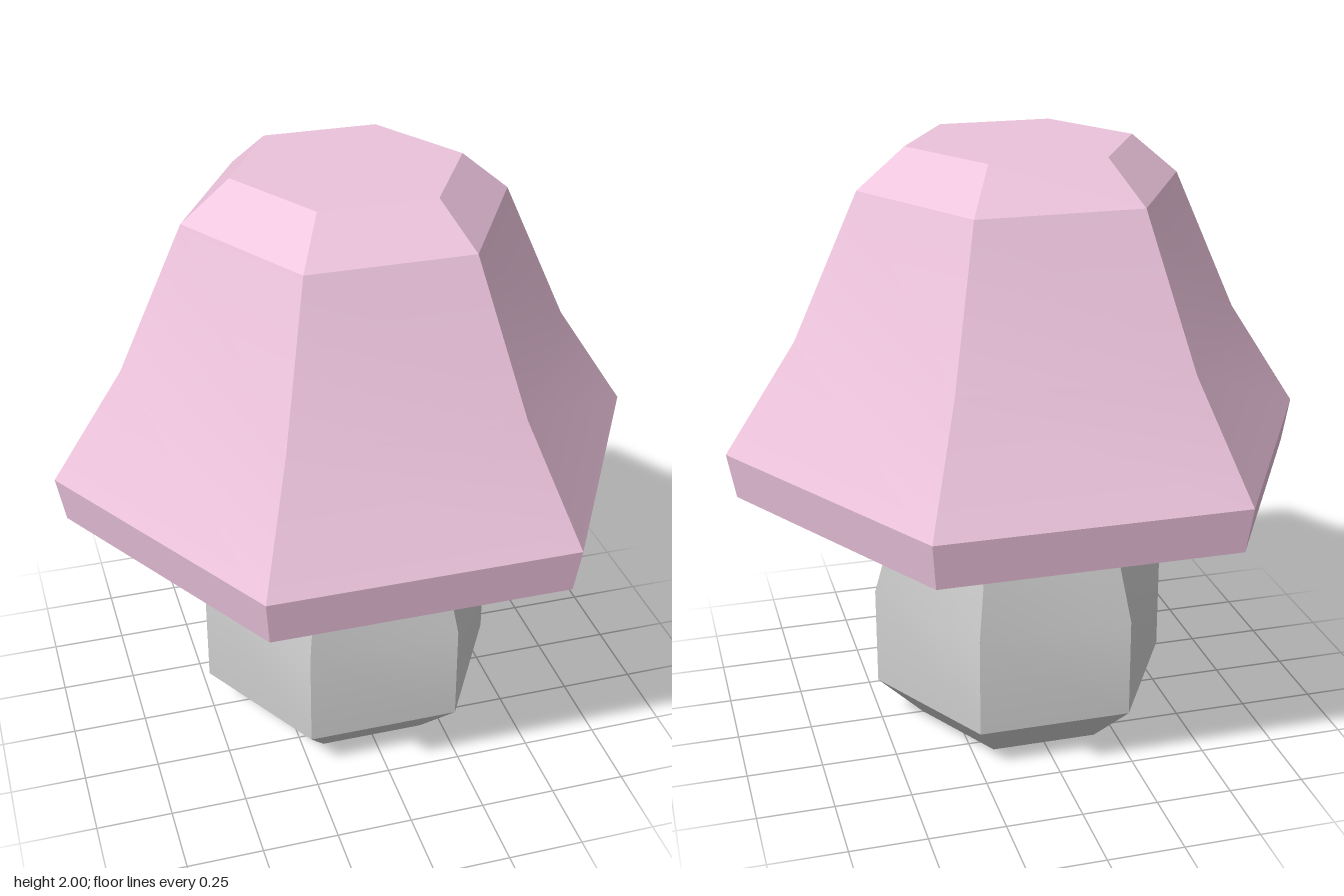
import * as THREE from 'three';
import { toCreasedNormals } from 'three/addons/utils/BufferGeometryUtils.js';

// Six-sided turned part; profile is [radius, height] pairs, bottom to top.
function hexPart(name, profile, color) {
  const points = profile.map(([r, y]) => new THREE.Vector2(r, y));
  const lathe = new THREE.LatheGeometry(points, 6, Math.PI / 6);
  const mesh = new THREE.Mesh(
    toCreasedNormals(lathe, THREE.MathUtils.degToRad(20)),
    new THREE.MeshStandardMaterial({ color })
  );
  mesh.name = name;
  return mesh;
}

export function createModel() {
  const model = new THREE.Group();
  model.name = 'mushroom';

  // Stem: bevelled foot, straight belly, tapering neck that meets the cap's ceiling
  model.add(hexPart('stem', [
    [0, 0], [0.355, 0], [0.51, 0.15], [0.51, 0.49], [0.36, 1.01], [0, 1.01],
  ], 0xcccccc));

  // Cap: recessed underside, flat lip, flared rim, bell-shaped sides, flat top
  model.add(hexPart('cap', [
    [0, 1.01], [0.57, 1.01], [0.77, 0.89], [0.95, 0.89], [0.977, 1.04],
    [0.74, 1.4], [0.525, 1.87], [0.37, 2], [0, 2],
  ], 0xebc2db));

  return model;
}
